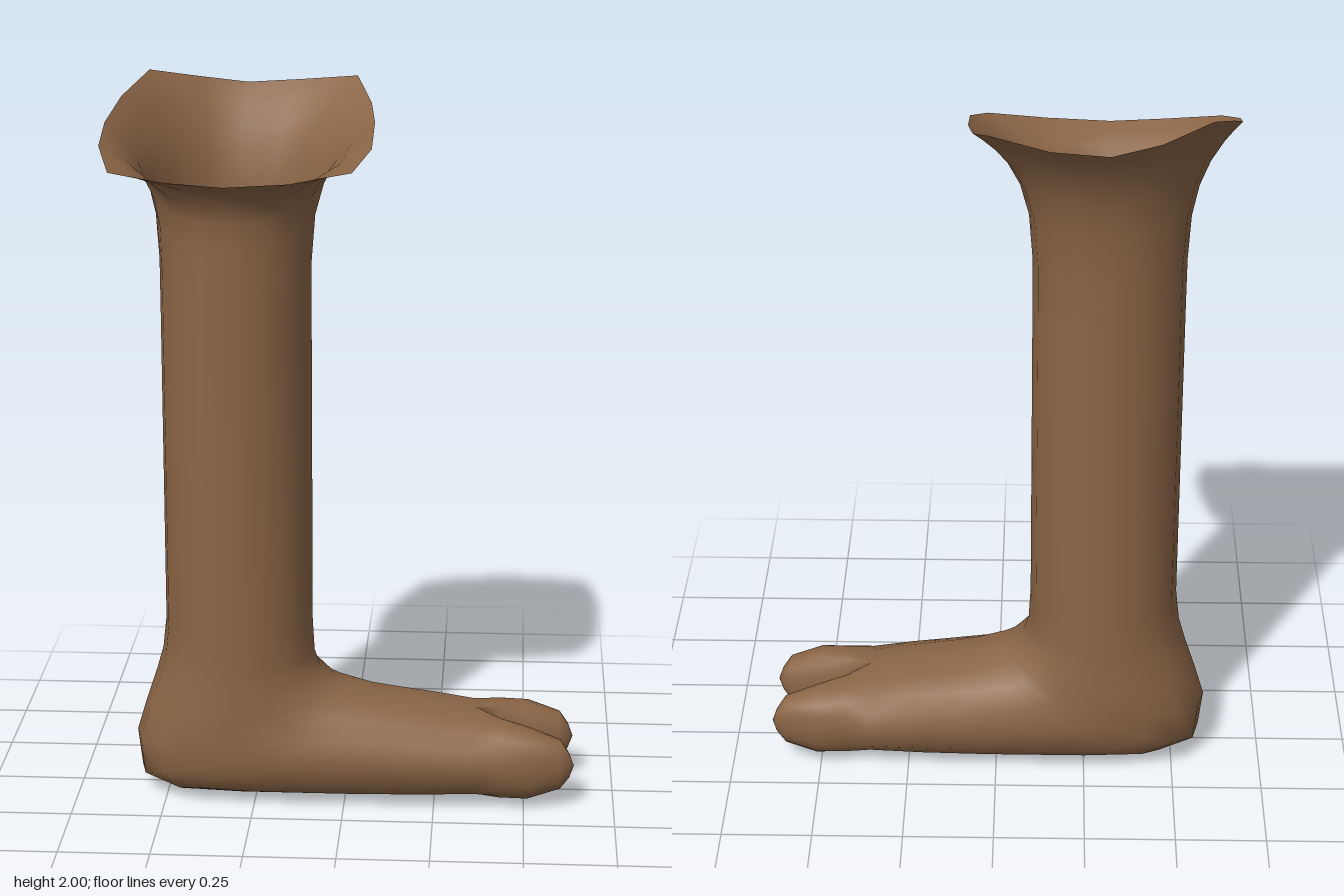
import * as THREE from 'three';
import { mergeGeometries, mergeVertices } from 'three/addons/utils/BufferGeometryUtils.js';

const SIDES = 16;
const indices = [...Array(SIDES).keys()];
const angle = (i) => (i / SIDES) * Math.PI * 2;
const soft = (v, e) => (Math.abs(v) < 1e-6 ? 0 : Math.sign(v) * Math.abs(v) ** e);

// Skin a list of closed rings; flip reverses the winding for mirrored parts
function loft(rings, flip = false) {
  const index = [];
  for (let r = 0; r < rings.length - 1; r++) {
    for (let i = 0; i < SIDES; i++) {
      const j = (i + 1) % SIDES;
      const a = r * SIDES + i, b = r * SIDES + j, c = a + SIDES, d = b + SIDES;
      if (flip) index.push(a, c, b, b, c, d);
      else index.push(a, b, c, b, d, c);
    }
  }
  const geo = new THREE.BufferGeometry();
  geo.setAttribute('position', new THREE.Float32BufferAttribute(rings.flat(2), 3));
  geo.setIndex(index);
  return geo;
}

// Ring spanning an inner (shin/instep) and an outer (calf/heel/sole) point
function ring([ix, iy, ox, oy, outW, e = 1, zc = 0, inW = outW]) {
  return indices.map((i) => {
    const c = soft(Math.cos(angle(i)), e), s = soft(Math.sin(angle(i)), e);
    return [
      (ix + ox) / 2 + ((ix - ox) / 2) * c,
      (iy + oy) / 2 + ((iy - oy) / 2) * c,
      zc + (s > 0 ? outW : inW) * s,
    ];
  });
}

// Uneven open rim at the top: x, y, z
const RIM = [
  [0.075, 1.9, 0], [0.075, 1.86, 0.17], [0.03, 1.82, 0.29], [-0.13, 1.795, 0.32],
  [-0.3, 1.785, 0.325], [-0.45, 1.795, 0.32], [-0.6, 1.815, 0.295], [-0.64, 1.86, 0.165],
  [-0.64, 1.9, 0.04], [-0.61, 1.95, -0.08], [-0.55, 2, -0.215], [-0.42, 1.97, -0.295],
  [-0.29, 1.95, -0.33], [-0.14, 1.96, -0.325], [0.015, 1.98, -0.27], [0.06, 1.93, -0.13],
];

// Shaft ring easing out to the rim, flaring more abruptly at the front
function flareRing(g) {
  return ring([-0.095, 1.4, -0.505, 1.4, 0.205]).map(([x, y, z], i) => {
    const [rx, ry, rz] = RIM[i];
    const f = g ** (4 + 6 * Math.max(0, rz / 0.325) ** 2);
    return [x + (rx - x) * f, y + (ry - y) * g, z + (rz - z) * f];
  });
}

// Shaft, heel and sole: inner x, y, outer x, y, half width, softness
const LEG = [
  [-0.095, 1.4, -0.505, 1.4, 0.205],
  [-0.095, 0.95, -0.505, 0.95, 0.205],
  [-0.095, 0.5, -0.505, 0.5, 0.205],
  [-0.09, 0.41, -0.515, 0.41, 0.205],
  [-0.075, 0.365, -0.535, 0.34, 0.205, 0.97],
  [-0.05, 0.342, -0.565, 0.25, 0.207, 0.94],
  [-0.03, 0.325, -0.592, 0.16, 0.207, 0.9],
  [-0.005, 0.315, -0.58, 0.055, 0.206, 0.86],
  [0.03, 0.305, -0.48, 0.01, 0.204, 0.85],
  [0.08, 0.29, -0.3, 0.003, 0.202, 0.85],
  [0.16, 0.277, 0, 0.003, 0.198, 0.85],
  [0.25, 0.265, 0.2, 0.006, 0.193, 0.85],
  [0.36, 0.248, 0.36, 0.012, 0.185, 0.85],
];

// Toe: x, top, bottom, centre z, outer width, inner width
const TOE = [
  [0.36, 0.248, 0.012, 0, 0.185, 0],
  [0.43, 0.239, 0.016, 0.06, 0.121, 0.043],
  [0.51, 0.227, 0.024, 0.1, 0.078, 0.063],
  [0.6, 0.195, 0.055, 0.107, 0.046, 0.047],
  [0.625, 0.157, 0.088, 0.11, 0.024, 0.024],
  [0.638, 0.122, 0.122, 0.11, 0, 0],
];

export function createModel() {
  const group = new THREE.Group();
  const brown = new THREE.MeshStandardMaterial({ color: 0x8b6546, side: THREE.DoubleSide });
  brown.name = 'brown';

  // Flared top, leg and foot
  const flare = [1, 0.96, 0.9, 0.8, 0.67, 0.5, 0.25].map(flareRing);
  const body = loft([...flare, ...LEG.map(ring)]);

  // Two mirrored toes that grow out of the split end of the foot
  const toeRings = TOE.map(([x, top, bottom, zc, outW, inW]) =>
    ring([x, top, x, bottom, outW, 0.85, zc, inW]));
  const mirrored = toeRings.map((r) => r.map(([x, y, z]) => [x, y, -z]));

  // Weld so shading runs smoothly from the foot into the toes
  const skin = mergeVertices(mergeGeometries([body, loft(toeRings), loft(mirrored, true)]), 1e-4);
  skin.computeVertexNormals();
  const mesh = new THREE.Mesh(skin, brown);
  mesh.name = 'legWithTwoToedFoot';
  group.add(mesh);
  return group;
}
